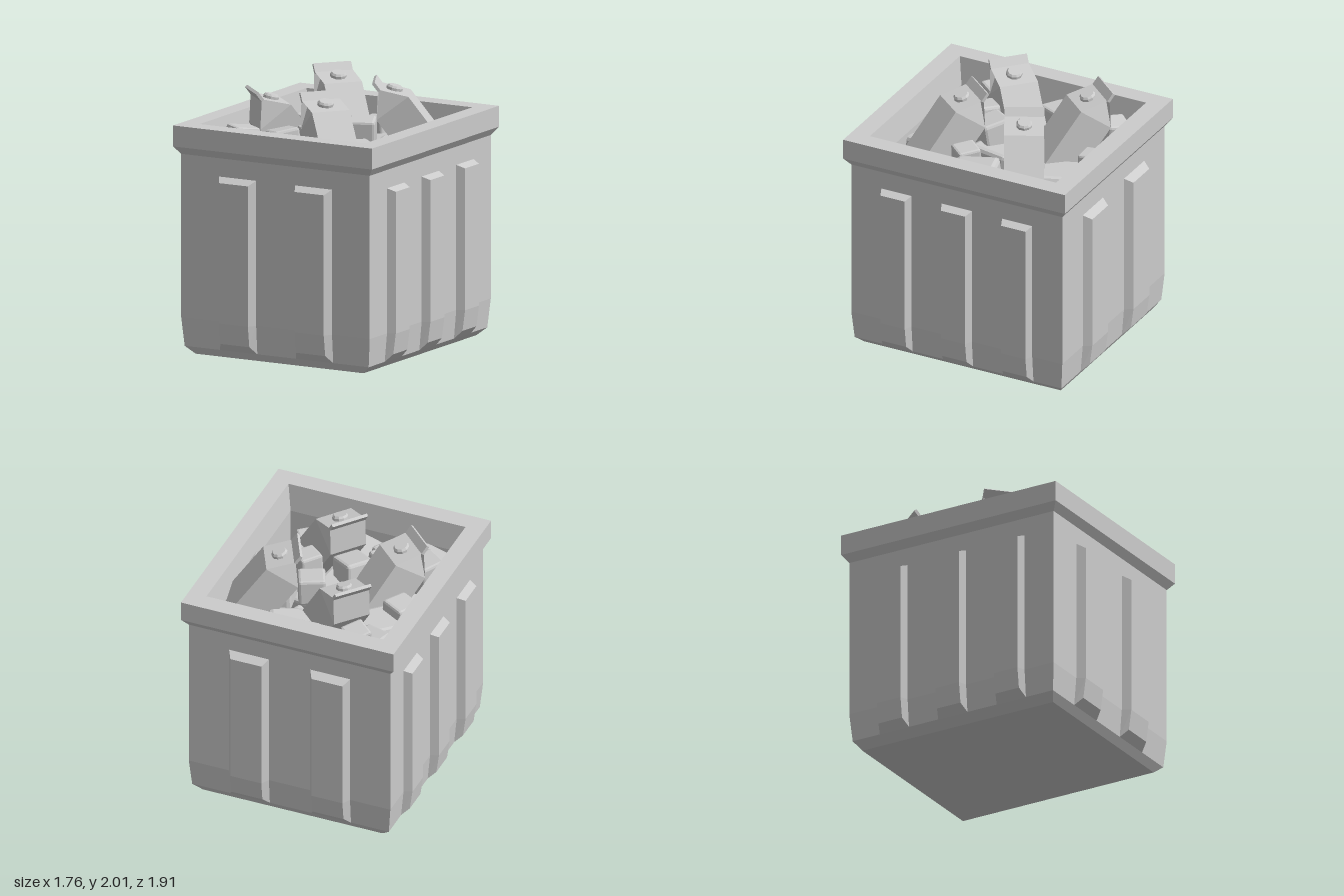
import * as THREE from 'three';
import { RoundedBoxGeometry } from 'three/addons/geometries/RoundedBoxGeometry.js';

const material = new THREE.MeshStandardMaterial({ color: 0xcccccc, flatShading: true });
const thin = new THREE.MeshStandardMaterial({ color: 0xcccccc, flatShading: true, side: THREE.DoubleSide });

function add(parent, name, geometry, mat = material) {
  const mesh = new THREE.Mesh(geometry, mat);
  mesh.name = name;
  parent.add(mesh);
  return mesh;
}

// Flat-shaded geometry from quads (four corners) or triangles (three corners)
function facets(faces) {
  const pos = [];
  for (const f of faces) {
    pos.push(...f[0], ...f[1], ...f[2]);
    if (f.length === 4) pos.push(...f[0], ...f[2], ...f[3]);
  }
  const g = new THREE.BufferGeometry();
  g.setAttribute('position', new THREE.Float32BufferAttribute(pos, 3));
  g.computeVertexNormals();
  return g;
}

// Hollow bin: rectangles [half x, half z, y] joined up the outside and down the inside
function binGeometry() {
  const levels = [
    [0.73, 0.835, 0], [0.8, 0.877, 0.06], [0.82, 0.895, 0.28], [0.82, 0.895, 1.53],
    [0.865, 0.94, 1.59], [0.865, 0.94, 1.75], [0.72, 0.79, 1.75], [0.69, 0.76, 1.53], [0.69, 0.76, 0.1],
  ];
  const loops = levels.map(([x, z, y]) => [[-x, y, z], [x, y, z], [x, y, -z], [-x, y, -z]]);
  const faces = [[...loops[0]].reverse(), loops[loops.length - 1]];
  for (let i = 0; i < loops.length - 1; i++) {
    for (let k = 0; k < 4; k++) {
      const n = (k + 1) % 4;
      faces.push([loops[i][k], loops[i][n], loops[i + 1][n], loops[i + 1][k]]);
    }
  }
  return facets(faces);
}

// Raised rib with bevelled edges on a wall at depth d
function ribGeometry(cx, w, bevel, d, foot) {
  const base = [[0.06, foot], [0.28, d], [1.39, d]];
  const face = [[0.12, d + 0.037], [0.28, d + 0.062], [1.39 - bevel, d + 0.062]];
  face[0][1] = d + 0.04;
  const column = (x, pts) => pts.map(([y, z]) => [cx + x, y, z]);
  const cols = [column(-w, base), column(bevel - w, face), column(w - bevel, face), column(w, base)];
  const faces = [];
  for (let c = 0; c < 3; c++) {
    for (let r = 0; r < 2; r++) {
      faces.push([cols[c][r], cols[c + 1][r], cols[c + 1][r + 1], cols[c][r + 1]]);
    }
  }
  faces.push([cols[0][0], cols[3][0], cols[2][0], cols[1][0]]);
  faces.push([cols[1][2], cols[2][2], cols[3][2], cols[0][2]]);
  return facets(faces);
}

// Gable-top carton, leaning back so that the capped roof panel lies almost level
function carton(x, y, z, dx, dz) {
  const w = 0.15, rise = 0.18, length = 0.6;
  const holder = new THREE.Group();
  holder.name = 'carton';
  holder.position.set(x, y, z);
  holder.rotation.set(-0.645, Math.atan2(dx, dz), 0, 'YXZ');
  const inner = new THREE.Group();
  inner.position.set(0, -rise / 2, -w / 2);
  holder.add(inner);

  add(inner, 'cartonBody', new THREE.BoxGeometry(2 * w, length, 2 * w)).position.y = -length / 2;
  const faces = [];
  for (const s of [-1, 1]) {
    faces.push([[-s * w, 0, s * w], [s * w, 0, s * w], [s * w, rise, 0], [-s * w, rise, 0]]);
    // folded-in gable end
    faces.push([[s * w, 0, s * w], [s * w, 0, -s * w], [s * (w - 0.06), rise - 0.01, 0]]);
  }
  add(inner, 'cartonRoof', facets(faces), thin);
  add(inner, 'cartonFin', new THREE.BoxGeometry(2 * w, 0.075, 0.024)).position.y = rise + 0.022;

  const profile = [[0.062, -0.01], [0.062, 0.02], [0.05, 0.035], [0, 0.035]].map((p) => new THREE.Vector2(...p));
  const cap = add(holder, 'cartonCap', new THREE.LatheGeometry(profile, 10));
  cap.rotation.x = Math.atan2(rise, w);
  return holder;
}

export function createModel() {
  const model = new THREE.Group();
  add(model, 'bin', binGeometry());

  // Two ribs on the front and back, three on each side
  for (const turn of [0, 1, 2, 3]) {
    const wide = turn % 2 === 0;
    for (const p of wide ? [-0.33, 0.33] : [-0.512, 0, 0.512]) {
      const g = wide ? ribGeometry(p, 0.162, 0.036, 0.895, 0.877) : ribGeometry(p, 0.128, 0.025, 0.82, 0.8);
      add(model, wide ? 'wideRib' : 'sideRib', g).rotation.y = turn * Math.PI / 2;
    }
  }

  // Cartons: cap position, then the direction in which the body runs down
  model.add(
    carton(-0.29, 1.93, -0.525, 0.76, 0.65),
    carton(0.105, 1.9, 0.335, 0.78, 0.63),
    carton(-0.455, 1.87, 0.19, 0.69, -0.73),
    carton(0.325, 1.93, -0.31, 0.89, -0.46),
  );

  let seed = 7;
  const rand = () => (seed = (seed * 16807) % 2147483647) / 2147483647;
  function block(x, top, z, size, turn, tilt) {
    const m = add(model, 'block', new RoundedBoxGeometry(size, size, size, 1, size * 0.1));
    m.position.set(x, top - size / 2, z);
    m.rotation.set((rand() - 0.5) * tilt, -turn * Math.PI / 180, (rand() - 0.5) * tilt, 'YXZ');
  }

  // Blocks on top of the heap: x, top, z, size, turn in degrees
  const blocks = [
    [-0.45, 1.7, -0.665, 0.18, 40], [-0.53, 1.6, -0.58, 0.24, 20], [-0.05, 1.62, -0.69, 0.17, -3],
    [0.14, 1.52, -0.53, 0.36, -25], [-0.46, 1.55, -0.3, 0.32, 40], [-0.58, 1.62, -0.12, 0.21, 28],
    [0.52, 1.6, 0, 0.34, -12], [0, 1.52, 0.08, 0.33, 8], [-0.07, 1.69, 0.165, 0.23, 35],
    [0.12, 1.71, -0.18, 0.21, -25], [-0.27, 1.68, 0.315, 0.21, 35], [-0.58, 1.68, 0.39, 0.21, 35],
    [-0.5, 1.55, 0.59, 0.3, 15], [-0.21, 1.55, 0.58, 0.23, 30], [0.08, 1.5, 0.6, 0.32, 12],
    [0.31, 1.62, 0.19, 0.18, 40], [0.47, 1.5, 0.37, 0.24, 18], [0.49, 1.46, 0.64, 0.16, -35],
    [0.55, 1.45, -0.5, 0.24, 20], [-0.22, 1.45, -0.08, 0.28, 0], [-0.58, 1.42, 0.17, 0.2, 10],
  ];
  for (const [x, top, z, size, turn] of blocks) block(x, top, z, size, turn, 0.3);

  // Lower layer showing through the gaps
  for (let i = 0; i < 5; i++) {
    for (let j = 0; j < 6; j++) {
      block(-0.52 + i * 0.26, 1.25 + rand() * 0.1, -0.6 + j * 0.24, 0.23, rand() * 30, 0.4);
    }
  }
  const fill = add(model, 'fill', new THREE.BoxGeometry(1.36, 0.05, 1.5));
  fill.position.y = 1.15;
  return model;
}
